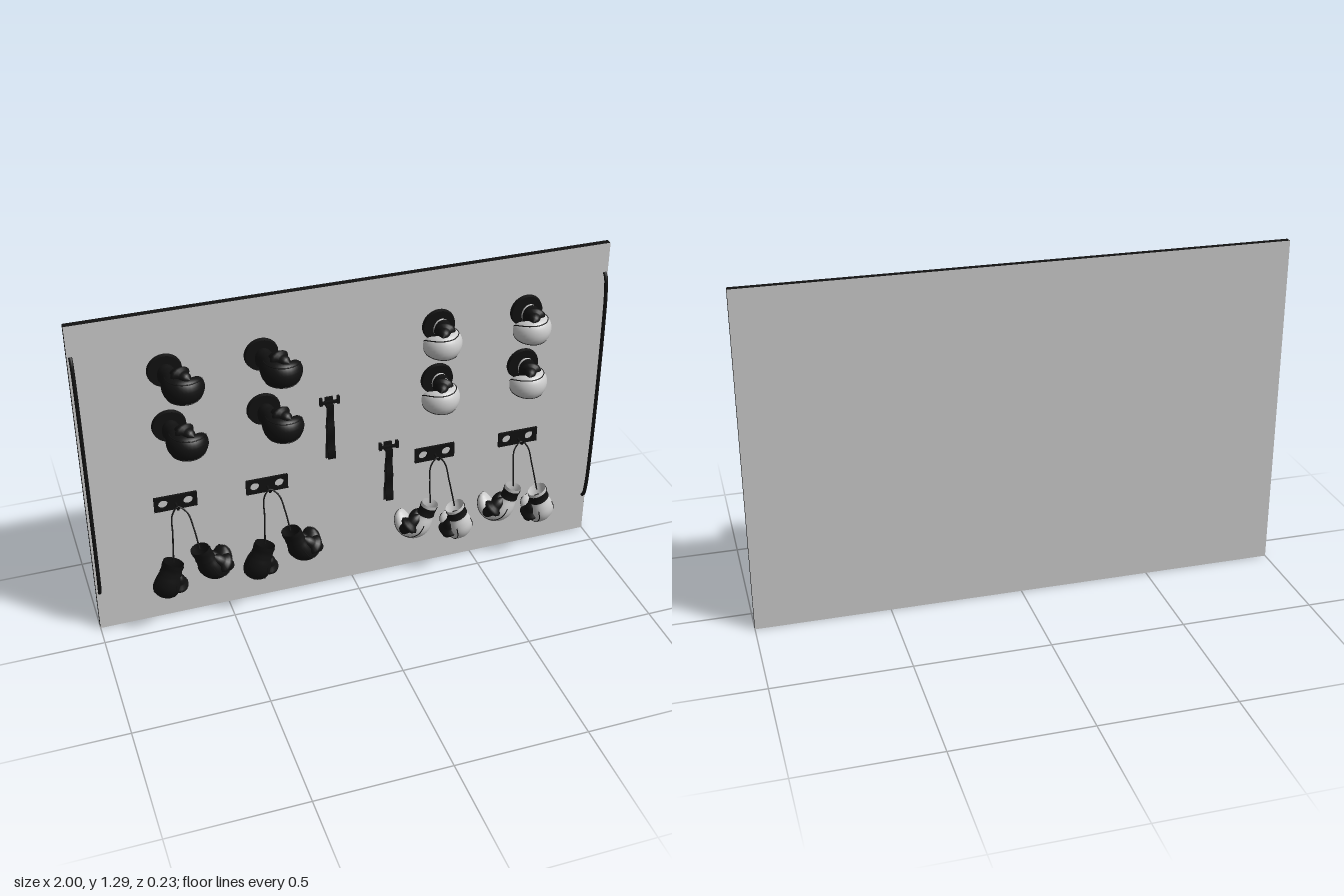
import * as THREE from 'three';

const black = new THREE.MeshStandardMaterial({ color: 0x111111, side: THREE.DoubleSide });
const white = new THREE.MeshStandardMaterial({ color: 0xeeeeee, side: THREE.DoubleSide });
const grey = new THREE.MeshStandardMaterial({ color: 0xcccccc });
const FACE = -0.088; // front face of the panel
const V = (x, y, z) => new THREE.Vector3(x, y, z);

function add(parent, name, geometry, material, x = 0, y = 0, z = 0) {
  const mesh = new THREE.Mesh(geometry, material);
  mesh.name = name;
  mesh.position.set(x, y, z);
  parent.add(mesh);
  return mesh;
}

// Smooth loft along a path in the xz plane. Section: [x, z, half thickness, half height, y]
function loft(sections, steps = 36, sides = 24) {
  const path = new THREE.CatmullRomCurve3(sections.map(s => V(s[0], s[4] || 0, s[1])));
  const size = new THREE.CatmullRomCurve3(sections.map(s => V(s[2], s[3], 0)));
  const point = (u, a) => {
    const c = path.getPoint(u), t = path.getTangent(u), r = size.getPoint(u);
    const n = V(t.z, 0, -t.x).normalize();
    return c.addScaledVector(n, Math.max(r.x, 0) * Math.cos(a))
      .add(V(0, Math.max(r.y, 0) * Math.sin(a), 0));
  };
  const pos = [], index = [];
  for (let i = 0; i <= steps; i++) {
    for (let j = 0; j < sides; j++) {
      pos.push(...point(i / steps, j / sides * Math.PI * 2).toArray());
      if (i === steps) continue;
      const a = i * sides + j, b = i * sides + (j + 1) % sides;
      index.push(a, b, a + sides, b, b + sides, a + sides);
    }
  }
  const geometry = new THREE.BufferGeometry();
  geometry.setAttribute('position', new THREE.Float32BufferAttribute(pos, 3));
  geometry.setIndex(index);
  geometry.computeVertexNormals();
  return { geometry, point };
}

// Glove: cuff at the origin, pointing along +z, thumb on +y, fingers curling to -x
const body = loft([
  [0, 0, 0.031, 0.039], [0, 0.03, 0.029, 0.037], [0, 0.055, 0.031, 0.039],
  [0, 0.08, 0.036, 0.045], [-0.004, 0.108, 0.039, 0.049], [-0.02, 0.13, 0.038, 0.049],
  [-0.045, 0.137, 0.035, 0.048], [-0.07, 0.126, 0.031, 0.044],
  [-0.088, 0.106, 0.024, 0.035], [-0.096, 0.09, 0.012, 0.02], [-0.098, 0.083, 0, 0],
]);
const thumb = loft([
  [-0.012, 0.05, 0.004, 0.004, 0.03], [-0.016, 0.065, 0.018, 0.016, 0.038],
  [-0.024, 0.09, 0.023, 0.019, 0.047], [-0.034, 0.115, 0.023, 0.019, 0.051],
  [-0.046, 0.136, 0.018, 0.016, 0.05], [-0.054, 0.148, 0, 0, 0.047],
], 18, 16);
const cuffBand = loft([[0, 0.012, 0.033, 0.041], [0, 0.03, 0.031, 0.039], [0, 0.048, 0.033, 0.041]], 6);
const palm = new THREE.SphereGeometry(1, 20, 14).scale(0.026, 0.036, 0.038);
const seams = [0.9, -0.9].map(a => {
  const points = [];
  for (let u = 0.3; u < 0.96; u += 0.05) points.push(body.point(u, a));
  return new THREE.TubeGeometry(new THREE.CatmullRomCurve3(points), 30, 0.002, 6);
});

function makeGlove(skin) {
  const glove = new THREE.Group();
  glove.name = 'glove';
  add(glove, 'gloveBody', body.geometry, skin);
  add(glove, 'gloveThumb', thumb.geometry, black);
  add(glove, 'cuffBand', cuffBand.geometry, black);
  add(glove, 'glovePalm', palm, black, -0.03, 0, 0.085);
  seams.forEach(s => add(glove, 'gloveSeam', s, black));
  return glove;
}

// Turns a glove so it points along axis with its thumb towards the given direction
function aim(glove, position, axis, thumbDir) {
  const z = axis.normalize();
  const x = thumbDir.clone().cross(z).normalize();
  const y = z.clone().cross(x);
  glove.quaternion.setFromRotationMatrix(new THREE.Matrix4().makeBasis(x, y, z));
  glove.position.copy(position);
  return glove;
}

// Glove standing straight out of the panel on a round base
function makeMountedGlove(skin) {
  const mount = new THREE.Group();
  mount.name = 'mountedGlove';
  add(mount, 'mountDisc', new THREE.CylinderGeometry(0.06, 0.063, 0.014, 32).rotateX(Math.PI / 2), black, 0, 0, FACE + 0.007);
  add(mount, 'mountPost', new THREE.CylinderGeometry(0.022, 0.022, 0.08, 20).rotateX(Math.PI / 2), black, 0, 0, -0.045);
  const glove = makeGlove(skin);
  glove.position.z = -0.057;
  mount.add(glove);
  return mount;
}

// Pair of gloves hanging by a cord from a plate with two holes
function makeHangingPair(skin) {
  const pair = new THREE.Group();
  pair.name = 'hangingGloves';
  const shape = new THREE.Shape([[-0.08, -0.03], [0.08, -0.03], [0.08, 0.03], [-0.08, 0.03]].map(p => new THREE.Vector2(...p)));
  for (const s of [-1, 1]) shape.holes.push(new THREE.Path().absarc(s * 0.047, 0, 0.018, 0, Math.PI * 2, true));
  add(pair, 'hookPlate', new THREE.ExtrudeGeometry(shape, { depth: 0.01, bevelEnabled: false, curveSegments: 20 }), black, 0, 0.515, FACE);
  const hook = new THREE.CatmullRomCurve3([V(0, 0.51, FACE), V(0, 0.508, -0.06), V(0, 0.51, -0.04), V(0, 0.522, -0.03)]);
  add(pair, 'hook', new THREE.TubeGeometry(hook, 16, 0.005, 8), black);
  const left = V(-0.055, 0.365, 0.025), right = V(0.045, 0.33, 0.028);
  const cord = new THREE.CatmullRomCurve3([
    left, V(-0.045, 0.44, -0.008), V(-0.032, 0.49, -0.036), V(0, 0.517, -0.045),
    V(0.025, 0.49, -0.036), V(0.033, 0.43, -0.008), right]);
  add(pair, 'cord', new THREE.TubeGeometry(cord, 48, 0.003, 6), black);
  pair.add(aim(makeGlove(skin), left, V(-0.38, -1, 0), V(-0.6, 0.35, 0.65)));
  pair.add(aim(makeGlove(skin), right, V(0.32, -1, 0), V(-1, -0.2, 0.35)));
  return pair;
}

// Folded strap hanging from a small forked bracket; origin at the bracket
function makeStrap() {
  const strap = new THREE.Group();
  strap.name = 'hangingStrap';
  add(strap, 'bracketPlate', new THREE.BoxGeometry(0.03, 0.035, 0.008), black, 0, 0, FACE + 0.004);
  add(strap, 'bracketBar', new THREE.BoxGeometry(0.07, 0.01, 0.01), black, 0, 0, FACE + 0.013);
  for (const s of [-1, 1]) {
    add(strap, 'bracketProng', new THREE.BoxGeometry(0.01, 0.03, 0.014), black, s * 0.033, 0.007, FACE + 0.014);
    // Each layer ripples gently away from the panel and widens downward
    const layer = new THREE.BoxGeometry(0.024, 0.235, 0.004, 1, 24, 1);
    const p = layer.attributes.position;
    for (let i = 0; i < p.count; i++) {
      const d = 0.5 - p.getY(i) / 0.235;
      p.setX(i, p.getX(i) * (1 + 0.25 * d) + s * 0.003 * d);
      p.setZ(i, p.getZ(i) + 0.003 * Math.sin(d * 14 + s));
    }
    layer.computeVertexNormals();
    add(strap, 'strapLayer', layer, black, 0.002, -0.125, FACE + 0.013 + s * 0.005);
  }
  return strap;
}

export function createModel() {
  const model = new THREE.Group();
  model.name = 'gloveDisplayPanel';

  // Panel with dark edges
  add(model, 'panel', new THREE.BoxGeometry(2, 1.29, 0.024), [black, black, black, black, grey, grey], 0, 0.645, FACE - 0.012);

  // Bowed handles along both sides
  for (const s of [-1, 1]) {
    const x = s * 0.988;
    const bow = new THREE.CatmullRomCurve3([
      V(x, 1.172, FACE), V(x, 1.16, -0.076), V(x, 1.1, -0.064), V(x, 0.95, -0.057),
      V(x, 0.67, -0.054), V(x, 0.39, -0.057), V(x, 0.24, -0.064), V(x, 0.18, -0.076), V(x, 0.168, FACE)]);
    add(model, 'sideHandle', new THREE.TubeGeometry(bow, 60, 0.007, 10), black);
  }

  // White gloves on the left half, mirrored black gloves on the right half
  for (const [side, skin] of [[1, white], [-1, black]]) {
    const half = new THREE.Group();
    half.name = side > 0 ? 'leftGloves' : 'rightGloves';
    half.scale.x = side;
    for (const x of [0.332, 0.677]) {
      for (const y of [0.843, 1.068]) {
        const mount = makeMountedGlove(skin);
        mount.position.set(x, y, 0);
        half.add(mount);
      }
      const pair = makeHangingPair(skin);
      pair.position.x = x;
      half.add(pair);
    }
    model.add(half);
  }

  // Straps in the middle
  for (const [x, y] of [[-0.088, 0.828], [0.142, 0.587]]) {
    const strap = makeStrap();
    strap.position.set(x, y, 0);
    model.add(strap);
  }
  return model;
}
